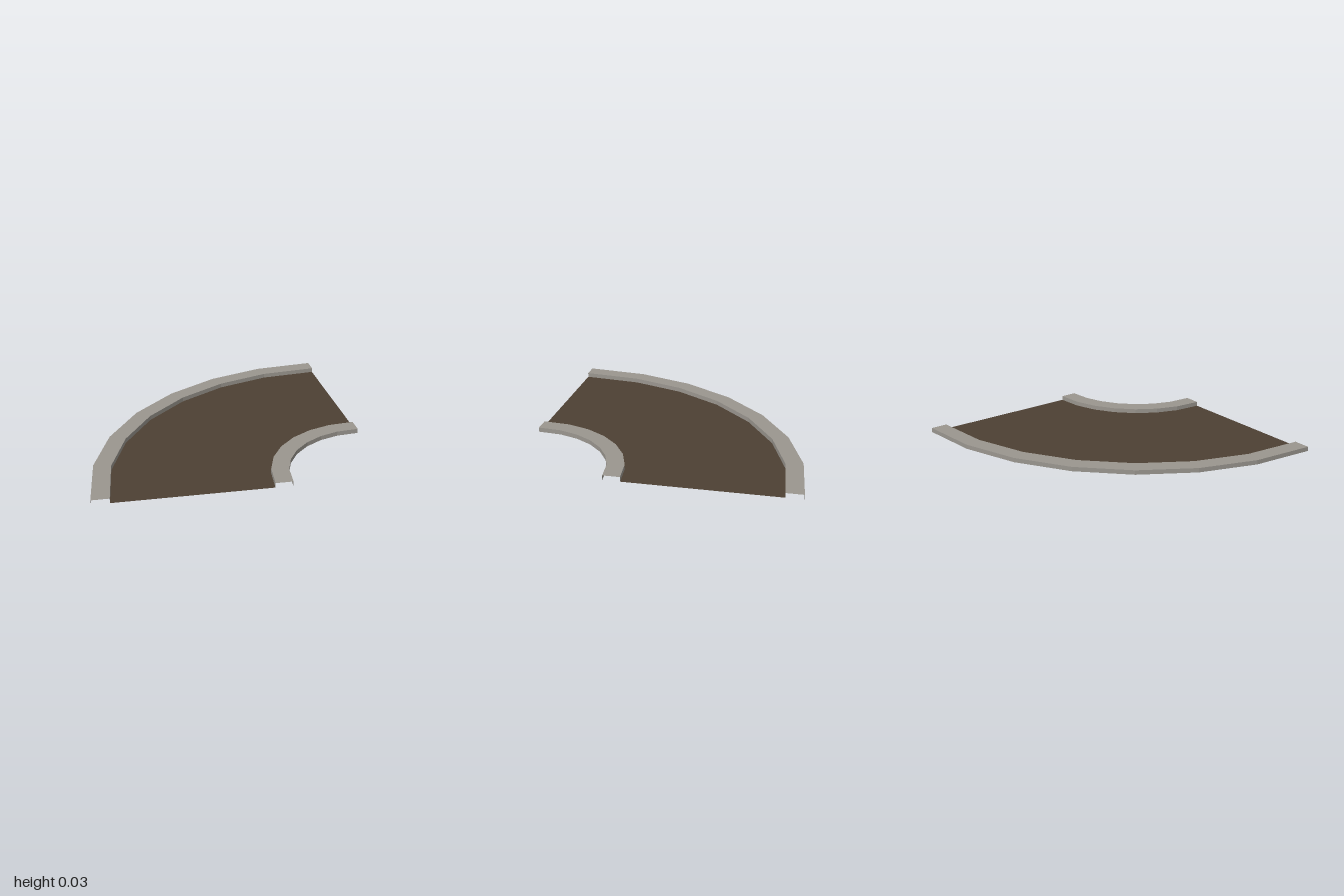
import * as THREE from 'three';

const CX = 0.978, CZ = 0.972;   // centre of the bend
const END_X = 0.993, END_Z = 1; // straight cut ends
const SEGMENTS = 7;
const HEIGHT = 0.033;

// Point on the bend at a given radius and step, with the ends pushed out to the cuts
function bendPoint(radius, y, i) {
  const a = (i / SEGMENTS) * Math.PI / 2;
  const x = i === SEGMENTS ? END_X : CX - radius * Math.cos(a);
  const z = i === 0 ? END_Z : CZ - radius * Math.sin(a);
  return [x, y, z];
}

// Sweep an open profile of [radius, y] points (inner to outer) round the bend
function sweep(profile) {
  const pos = [];
  for (let i = 0; i < SEGMENTS; i++) {
    for (let j = 0; j < profile.length - 1; j++) {
      const [r0, y0] = profile[j], [r1, y1] = profile[j + 1];
      const a = bendPoint(r0, y0, i), b = bendPoint(r1, y1, i);
      const c = bendPoint(r1, y1, i + 1), d = bendPoint(r0, y0, i + 1);
      pos.push(...a, ...c, ...b, ...a, ...d, ...c);
    }
  }
  const geometry = new THREE.BufferGeometry();
  geometry.setAttribute('position', new THREE.Float32BufferAttribute(pos, 3));
  geometry.computeVertexNormals();
  return geometry;
}

function material(name, color) {
  const m = new THREE.MeshStandardMaterial({ color, side: THREE.DoubleSide, flatShading: true });
  m.name = name;
  return m;
}

export function createModel() {
  const group = new THREE.Group();
  group.name = 'roadBend';
  const asphalt = material('brown asphalt', 0x4d4033);
  const stone = material('grey stone', 0x9a968f);

  const add = (name, profile, mat) => {
    const mesh = new THREE.Mesh(sweep(profile), mat);
    mesh.name = name;
    group.add(mesh);
  };

  // Kerbs are hollow channels: two walls and a top, open below and at the ends
  const kerb = (r0, r1) => [[r0, 0], [r0, HEIGHT], [r1, HEIGHT], [r1, 0]];

  add('roadSurface', [[0.772, 0], [1.85, 0]], asphalt);
  add('innerKerb', kerb(0.651, 0.772), stone);
  add('outerKerb', kerb(1.85, 1.972), stone);
  return group;
}
